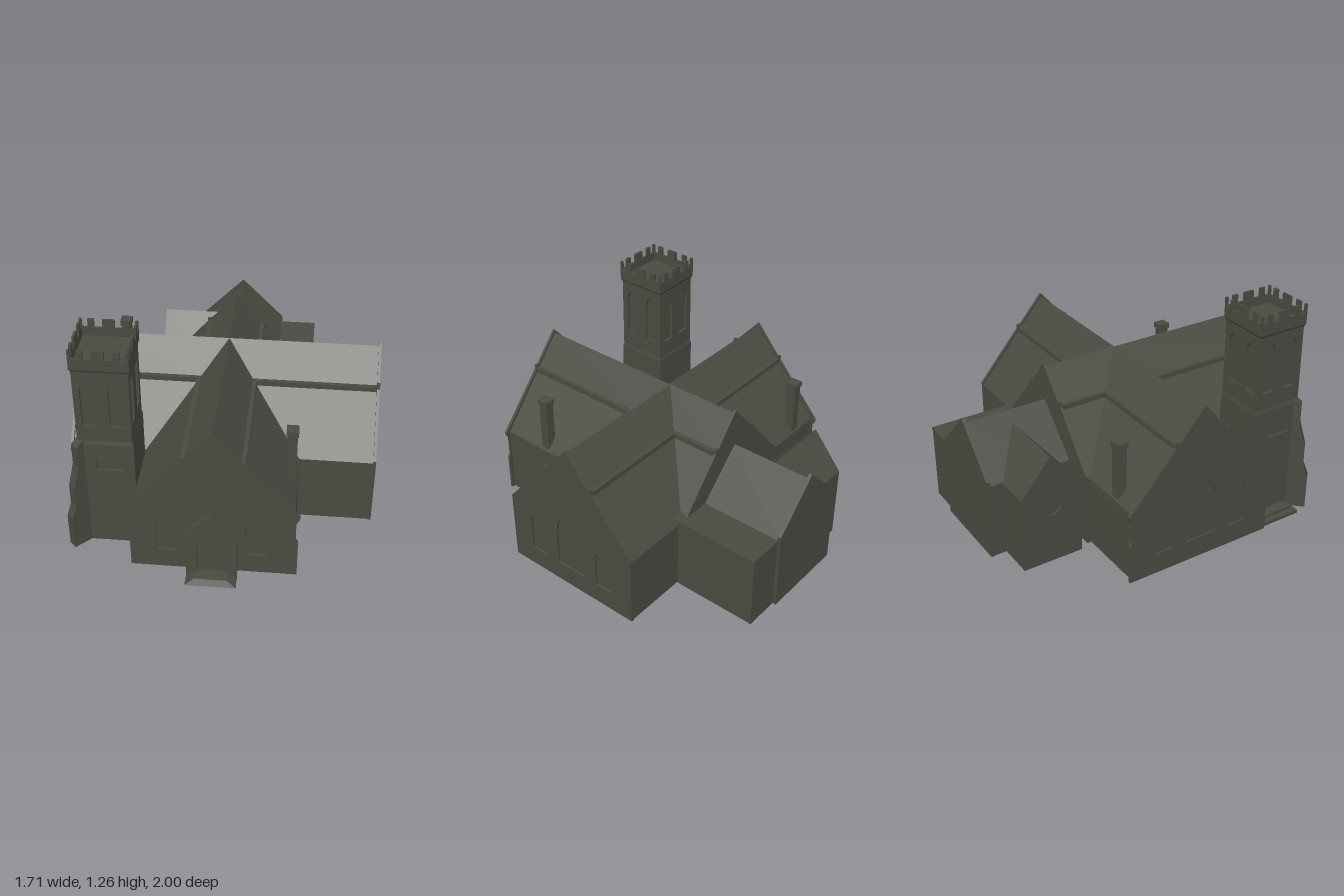
import * as THREE from 'three';

const stone = new THREE.MeshStandardMaterial({ color: 0x4a4a42, side: THREE.DoubleSide });
stone.name = 'dark stone';

function add(parent, geometry, name, x = 0, y = 0, z = 0) {
  const mesh = new THREE.Mesh(geometry, stone);
  mesh.name = name;
  mesh.position.set(x, y, z);
  parent.add(mesh);
  return mesh;
}

function group(parent, name, x = 0, y = 0, z = 0, turn = 0) {
  const g = new THREE.Group();
  g.name = name;
  g.position.set(x, y, z);
  g.rotation.y = turn;
  parent.add(g);
  return g;
}

// Box given by its base height
const box = (parent, name, w, h, d, x, y, z) =>
  add(parent, new THREE.BoxGeometry(w, h, d), name, x, y + h / 2, z);

// Full outline, left to right, from the right half of a symmetric profile
const mirror = (half) => [
  ...half.slice().reverse().filter(([u]) => u > 0).map(([u, y]) => [-u, y]), ...half];

const polygon = (pts) => new THREE.Shape(pts.map(([x, y]) => new THREE.Vector2(x, y)));

// Open-bottomed walls and roof: a profile swept along z, its inner end set by a rule
function shell(parent, name, half, outer, inner) {
  const pts = mirror(half), pos = [];
  for (let i = 0; i < pts.length - 1; i++) {
    const [a, b] = [pts[i], pts[i + 1]];
    const ao = [...a, outer], bo = [...b, outer];
    const ai = [...a, inner(Math.abs(a[0]))], bi = [...b, inner(Math.abs(b[0]))];
    pos.push(...ao, ...bo, ...bi, ...ao, ...bi, ...ai);
  }
  const g = new THREE.BufferGeometry();
  g.setAttribute('position', new THREE.Float32BufferAttribute(pos, 3));
  g.computeVertexNormals();
  return add(parent, g, name);
}

// Pointed arch opening
function arch(cx, base, w, spring, top) {
  const s = new THREE.Shape(), r = w / 2, k = spring + (top - spring) * 0.65;
  s.moveTo(cx - r, base);
  s.lineTo(cx + r, base);
  s.lineTo(cx + r, spring);
  s.quadraticCurveTo(cx + r * 0.9, k, cx, top);
  s.quadraticCurveTo(cx - r * 0.9, k, cx - r, spring);
  s.closePath();
  return s;
}

// Wall slab whose front lies at z, with openings closed by recessed panes
function wall(parent, name, outline, openings, z, depth = 0.02, recess = 0.013) {
  const s = polygon(outline);
  s.holes.push(...openings);
  add(parent, new THREE.ExtrudeGeometry(s, { depth, bevelEnabled: false, curveSegments: 8 }),
    name, 0, 0, z - depth);
  for (const o of openings) add(parent, new THREE.ShapeGeometry(o, 8), name + 'Pane', 0, 0, z - recess);
}

// Square tapering ring
function taper(parent, name, bottom, top, h, x, y, z) {
  const g = new THREE.CylinderGeometry(top * Math.SQRT2, bottom * Math.SQRT2, h, 4, 1, true)
    .rotateY(Math.PI / 4).toNonIndexed();
  g.computeVertexNormals();
  return add(parent, g, name, x, y + h / 2, z);
}

function buildArms(root) {
  const roof = [[0, 0.905], [0.145, 0.738], [0.17, 0.738], [0.17, 0.709], [0.43, 0.41], [0.43, 0]];
  const plain = [[0, 0.925], [0.148, 0.755], [0.172, 0.755], [0.172, 0.73], [0.434, 0.425], [0.434, 0]];
  const kneeler = [[0, 0.925], [0.148, 0.755], [0.172, 0.755], [0.172, 0.73], [0.44, 0.43],
    [0.457, 0.41], [0.452, 0.39], [0.437, 0.365], [0.437, 0.25], [0.45, 0.23], [0.45, 0]];
  const small = (x) => arch(x, 0.12, 0.115, 0.31, 0.375);
  const triple = [small(-0.238), arch(0, 0.12, 0.195, 0.35, 0.5), small(0.238)];
  const arms = [
    ['frontArm', 0, 0.91, kneeler, [small(-0.25), small(0.23)]],
    ['leftArm', Math.PI / 2, 0.853, plain, triple],
    ['backArm', Math.PI, 0.455, plain, []],
    ['rightArm', -Math.PI / 2, 0.853, kneeler, triple],
  ];
  // Four arms mitred along the valleys
  for (const [name, turn, length, gable, openings] of arms) {
    const arm = group(root, name, 0, 0, -0.045, turn);
    shell(arm, 'wallsAndRoof', roof, length - 0.01, (u) => u);
    wall(arm, 'gable', mirror(gable), openings, length, 0.016);
  }
}

function buildBack(root) {
  // Chancel with raised end gable
  const chancel = group(root, 'chancel', 0, 0, 0, Math.PI);
  shell(chancel, 'chancelWallsAndRoof', [[0, 0.705], [0.257, 0.445], [0.257, 0]], 0.99, () => 0.49);
  wall(chancel, 'chancelGable', mirror([[0, 0.74], [0.26, 0.475], [0.26, 0]]), [], 1.0);

  // Gabled side room
  const room = group(root, 'sideRoom', 0, 0, -0.73, -Math.PI / 2);
  const half = [[0, 0.652], [0.177, 0.44], [0.177, 0]];
  shell(room, 'roomWallsAndRoof', half, 0.455, (u) => 0.052 + u * 1.15);
  const round = new THREE.Shape().absarc(0, 0.35, 0.06, 0, Math.PI * 2);
  wall(room, 'roomGable', mirror(half), [round], 0.463);

  // Flat-roofed store
  wall(group(root, 'storeBack', 0.363, 0, 0, Math.PI), 'storeBackWall',
    [[-0.103, 0], [-0.103, 0.435], [0.103, 0.435], [0.103, 0]], [], 0.98);
  box(root, 'storeSideWall', 0.015, 0.435, 0.5, 0.457, 0, -0.73);
  box(root, 'storeRoof', 0.215, 0.015, 0.535, 0.363, 0.433, -0.715);
}

function buildPorch(root) {
  const porch = group(root, 'porch', -0.005, 0, 0);
  const half = [[0, 0.425], [0.135, 0.288], [0.135, 0]];
  shell(porch, 'porchWallsAndRoof', half, 0.92, () => 0.86);
  wall(porch, 'porchGable', mirror([[0, 0.435], [0.142, 0.29], [0.142, 0.265], [0.137, 0.255], [0.137, 0]]),
    [arch(0, 0.03, 0.155, 0.22, 0.335)], 0.925, 0.025, 0.022);
  // Sloped step
  const step = new THREE.BoxGeometry(0.275, 0.033, 0.08);
  const p = step.attributes.position;
  for (let i = 0; i < p.count; i++) {
    if (p.getY(i) > 0) p.setXYZ(i, p.getX(i) * 0.65, p.getY(i), p.getZ(i) > 0 ? 0.02 : -0.04);
  }
  const flat = step.toNonIndexed();
  flat.computeVertexNormals();
  add(porch, flat, 'porchStep', 0, 0.0165, 0.96);
}

function buildTower(root) {
  const tower = group(root, 'tower', -0.586, 0, 0.54);
  const rect = (r, a, b) => [[-r, a], [-r, b], [r, b], [r, a]];
  for (let i = 0; i < 4; i++) {
    const side = group(tower, 'towerSide', 0, 0, 0, i * Math.PI / 2);
    const niche = arch(0.02, 0.505, 0.148, 0.565, 0.62);
    wall(side, 'lowerWall', rect(0.152, 0, 0.675), i === 0 || i === 3 ? [niche] : [], 0.152);
    wall(side, 'belfryWall', rect(0.147, 0.68, 1.125),
      [-0.073, 0.073].map((x) => arch(x, 0.79, 0.076, 1.02, 1.085)), 0.147, 0.018, 0.016);
    // Battlements
    box(side, 'parapet', 0.31, 0.065, 0.014, 0, 1.148, 0.148);
    for (const [x, w] of [[-0.148, 0.014], [-0.093, 0.033], [0, 0.064], [0.093, 0.033], [0.148, 0.014]]) {
      box(side, 'merlon', w, 0.05, 0.014, x, 1.212, 0.148);
    }
  }
  taper(tower, 'weathering', 0.152, 0.147, 0.02, 0, 0.675, 0);
  taper(tower, 'cornice', 0.147, 0.155, 0.02, 0, 1.128, 0);
  box(tower, 'towerRoof', 0.29, 0.015, 0.29, 0, 1.15, 0);

  // Stepped diagonal buttress
  const profile = polygon([[-0.05, 0], [0.09, 0], [0.09, 0.2], [0.06, 0.28], [0.06, 0.4],
    [0.022, 0.54], [0.022, 0.665], [-0.03, 0.705], [-0.05, 0.705]]);
  const g = new THREE.ExtrudeGeometry(profile, { depth: 0.052, bevelEnabled: false });
  g.translate(0, 0, -0.026);
  add(tower, g, 'buttress', -0.149, 0, 0.15).rotation.y = -Math.PI * 0.75;

  // Side door steps
  box(root, 'lowerStep', 0.1, 0.02, 0.275, -0.788, 0, 0.523);
  box(root, 'upperStep', 0.065, 0.015, 0.22, -0.77, 0.02, 0.523);
}

export function createModel() {
  const root = new THREE.Group();
  root.name = 'church';
  buildArms(root);
  buildBack(root);
  buildPorch(root);
  buildTower(root);
  // Chimneys
  for (const [x, z] of [[0.392, 0.555], [-0.665, -0.44]]) {
    const c = group(root, 'chimney', x, 0, z);
    box(c, 'chimneyShaft', 0.054, 0.31, 0.054, 0, 0.41, 0);
    box(c, 'chimneyCap', 0.066, 0.032, 0.066, 0, 0.718, 0);
  }
  return root;
}
